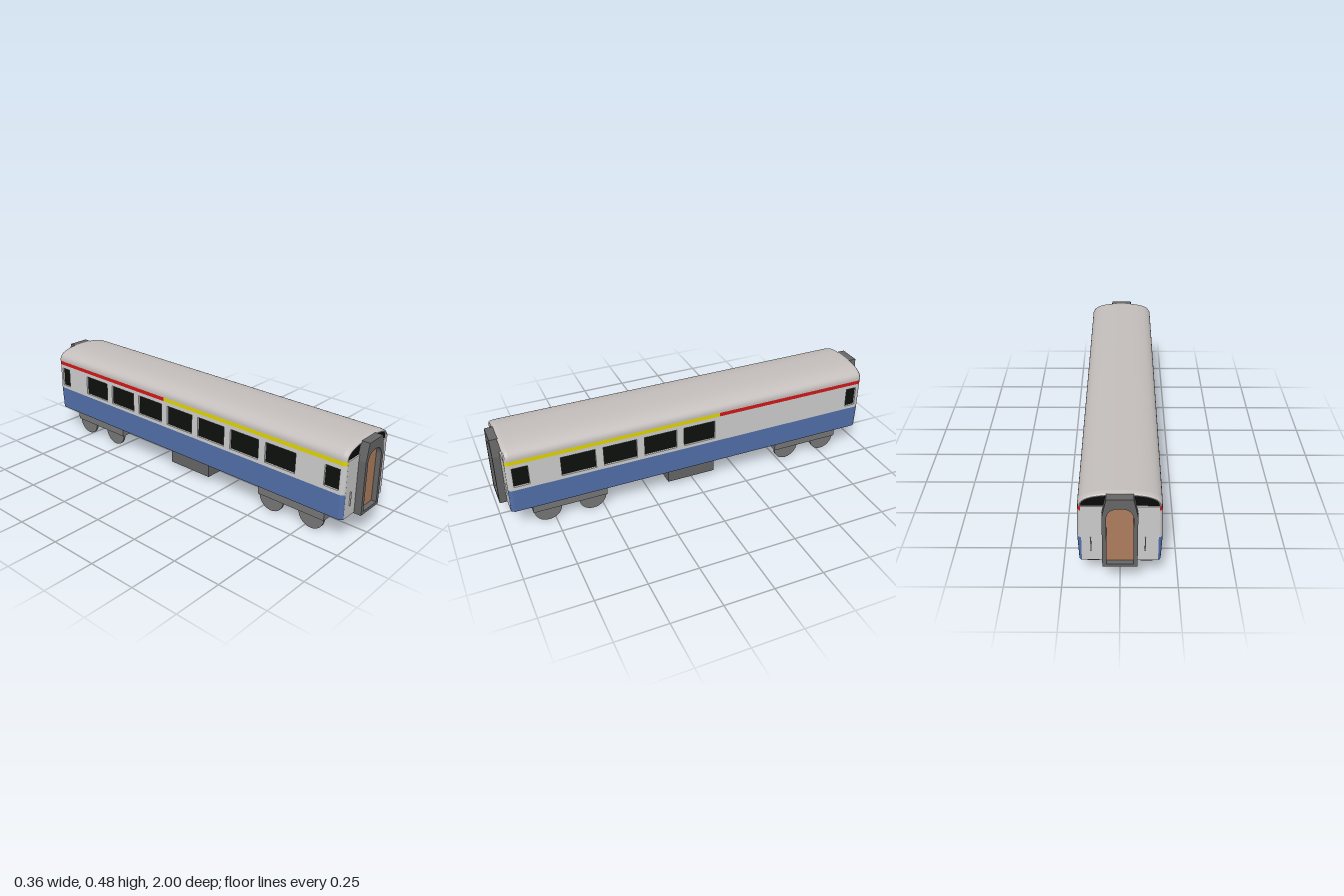
import * as THREE from 'three';
import { ParametricGeometry } from 'three/addons/geometries/ParametricGeometry.js';

const mat = (color) => new THREE.MeshStandardMaterial({ color, side: THREE.DoubleSide });

export function createModel() {
  const model = new THREE.Group();
  const M = {
    grey: mat(0xcccccc), roof: mat(0xc4bfbc), blue: mat(0x5472ad), yellow: mat(0xe0d400),
    red: mat(0xd01818), glass: mat(0x0d100d), black: mat(0x0a0a0a), dark: mat(0x666666),
    bogie: mat(0x777777), floor: mat(0x444444), door: mat(0xae7d5f),
  };
  const add = (name, geo, material, parent = model) => {
    const mesh = new THREE.Mesh(geo, material);
    mesh.name = name;
    parent.add(mesh);
    return mesh;
  };
  const box = (name, w, h, d, x, y, z, material, parent) => {
    const mesh = add(name, new THREE.BoxGeometry(w, h, d), material, parent);
    mesh.position.set(x, y, z);
    return mesh;
  };

  // Half width of the body at height y: leans out to the waist, then in
  const BOTTOM = 0.125, WAIST = 0.25, STRIPE = 0.39, EAVE = 0.41, SIDE_END = 0.94, END = 0.964;
  const halfWidth = (y) => y < WAIST
    ? 0.173 + (0.006 * (y - BOTTOM)) / (WAIST - BOTTOM)
    : 0.179 - (0.005 * (y - WAIST)) / (EAVE - WAIST);

  const rect = (Type, a, b, y0, y1) => {
    const p = new Type();
    p.moveTo(a, y0); p.lineTo(b, y0); p.lineTo(b, y1); p.lineTo(a, y1); p.closePath();
    return p;
  };

  // Side panel between two z values, bent to follow the body's lean
  function sidePanel(name, side, z0, z1, y0, y1, material, depth, inset = 0, holes = []) {
    const span = (a, b) => [-side * a, -side * b].sort((m, n) => m - n);
    const shape = rect(THREE.Shape, ...span(z0, z1), y0, y1);
    for (const [a, b] of holes) shape.holes.push(rect(THREE.Path, ...span(a, b), 0.268, 0.37));
    const geo = new THREE.ExtrudeGeometry(shape, { depth, bevelEnabled: false });
    const p = geo.attributes.position;
    for (let i = 0; i < p.count; i++) {
      const s = p.getX(i), y = p.getY(i), t = p.getZ(i);
      p.setXYZ(i, side * (halfWidth(y) - inset - depth + t), y, -side * s);
    }
    geo.computeVertexNormals();
    add(name, geo, material);
  }

  // Rounded vertical corner of the body between two heights
  function corner(name, sx, sz, y0, y1, material) {
    const geo = new ParametricGeometry((u, v, out) => {
      const a = (sx * sz > 0 ? 1 - u : u) * Math.PI / 2, y = y0 + v * (y1 - y0);
      const x = 0.16 + (halfWidth(y) - 0.16) * Math.cos(a);
      out.set(sx * x, y, sz * (SIDE_END + (END - SIDE_END) * Math.sin(a)));
    }, 6, 1);
    add(name, geo, material);
  }

  // Sides: four saloon windows on the left, seven on the right, one small at each end
  const SPLIT = -0.12;
  for (const side of [1, -1]) {
    const windows = [[0.86, 0.936], [-0.936, -0.877]];
    const count = side > 0 ? 4 : 7;
    for (let i = 0; i < count; i++) windows.push([0.535 - i * 0.21, 0.706 - i * 0.21]);
    sidePanel('lowerSide', side, -SIDE_END, SIDE_END, BOTTOM, WAIST, M.blue, 0.012);
    sidePanel('windowSide', side, -SIDE_END, SIDE_END, WAIST, STRIPE, M.grey, 0.012, 0, windows);
    sidePanel('redStripe', side, -SIDE_END, SPLIT, STRIPE, EAVE, M.red, 0.012);
    sidePanel('yellowStripe', side, SPLIT, SIDE_END, STRIPE, EAVE, M.yellow, 0.012);
    for (const [a, b] of windows)
      sidePanel('windowGlass', side, a - 0.002, b + 0.002, 0.266, 0.372, M.glass, 0.003, 0.01);
    for (const end of [1, -1]) {
      corner('lowerCorner', side, end, BOTTOM, WAIST, M.blue);
      corner('upperCorner', side, end, WAIST, STRIPE, M.grey);
      corner('stripeCorner', side, end, STRIPE, EAVE, end > 0 ? M.yellow : M.red);
    }
  }

  // Roof: superellipse arch lofted along the body, drawn in at both ends
  const arch = (a, inset) => {
    const c = Math.cos(a), s = Math.sin(a), k = 2 / 2.6;
    return [Math.sign(c) * (0.174 - inset) * Math.abs(c) ** k,
      EAVE + (0.067 - inset) * Math.max(s, 0) ** k];
  };
  const lip = [[0.953, 0.016], [0.964, 0.012], [0.964, 0.008], [0.958, 0.003], [0.942, 0]];
  const stations = [...lip.map(([z, i]) => [-z, i]), ...lip.reverse()];
  add('roof', new ParametricGeometry((u, v, out) => {
    const [z, inset] = stations[Math.round(v * (stations.length - 1))];
    const [x, y] = arch((1 - u) * Math.PI, inset);
    out.set(x, y, z);
  }, 40, stations.length - 1), M.roof);

  // Ends: wall, dark upper panel, gangway frame with door, grab rails
  const frameShape = new THREE.Shape();
  [[-0.074, 0.12], [0.074, 0.12], [0.074, 0.385], [0.056, 0.472], [-0.056, 0.472], [-0.074, 0.385]]
    .forEach(([x, y], i) => (i ? frameShape.lineTo(x, y) : frameShape.moveTo(x, y)));
  const opening = new THREE.Path();
  opening.moveTo(-0.056, 0.135);
  opening.lineTo(0.056, 0.135);
  opening.lineTo(0.056, 0.38);
  opening.bezierCurveTo(0.052, 0.41, 0.035, 0.426, 0, 0.426);
  opening.bezierCurveTo(-0.035, 0.426, -0.052, 0.41, -0.056, 0.38);
  frameShape.holes.push(opening);
  const upperShape = new THREE.Shape(Array.from({ length: 33 }, (_, i) =>
    new THREE.Vector2(...arch((i / 32) * Math.PI, 0.013))));

  for (const turn of [0, Math.PI]) {
    const end = new THREE.Group();
    end.name = turn ? 'backEnd' : 'frontEnd';
    end.rotation.y = turn;
    model.add(end);
    box('endWall', 0.322, EAVE - BOTTOM, 0.01, 0, (EAVE + BOTTOM) / 2, END - 0.005, M.grey, end);
    add('upperEndPanel', new THREE.ShapeGeometry(upperShape), M.black, end).position.z = 0.957;
    const frame = new THREE.ExtrudeGeometry(frameShape, { depth: 0.045, bevelEnabled: false, curveSegments: 8 });
    add('gangwayFrame', frame, M.dark, end).position.z = 0.955;
    box('gangwayHead', 0.112, 0.06, 0.002, 0, 0.4, 0.97, M.black, end);
    const doorShape = new THREE.Shape(opening.getPoints(8).map((p) => new THREE.Vector2(p.x, Math.min(p.y, 0.42))));
    add('endDoor', new THREE.ShapeGeometry(doorShape), M.door, end).position.z = 0.975;
    for (const x of [-0.122, 0.106])
      box('grabRail', 0.005, 0.07, 0.006, x, 0.215, 0.967, M.grey, end);
  }

  // Underframe and equipment box
  box('floor', 0.342, 0.01, 1.9, 0, 0.127, 0, M.floor);
  box('underframe', 0.276, 0.02, 1.9, 0, 0.12, 0, M.floor);
  box('equipmentBox', 0.246, 0.1, 0.26, 0, 0.074, 0.012, M.dark);

  // Bogies with four wheels each
  for (const z of [0.67, -0.66]) {
    const bogie = new THREE.Group();
    bogie.name = 'bogie';
    bogie.position.z = z;
    model.add(bogie);
    box('bogieFrame', 0.3, 0.048, 0.376, 0, 0.094, 0, M.bogie, bogie);
    box('bogieBolster', 0.22, 0.01, 0.11, 0, 0.066, 0, M.floor, bogie);
    box('bogiePivot', 0.27, 0.014, 0.1, 0, 0.122, 0, M.bogie, bogie);
    for (const wz of [-0.114, 0.114]) for (const x of [-0.135, 0.135]) {
      const wheel = add('wheel', new THREE.CylinderGeometry(0.07, 0.07, 0.011, 32), M.bogie, bogie);
      wheel.rotation.z = Math.PI / 2;
      wheel.position.set(x, 0.07, wz);
    }
  }
  return model;
}
